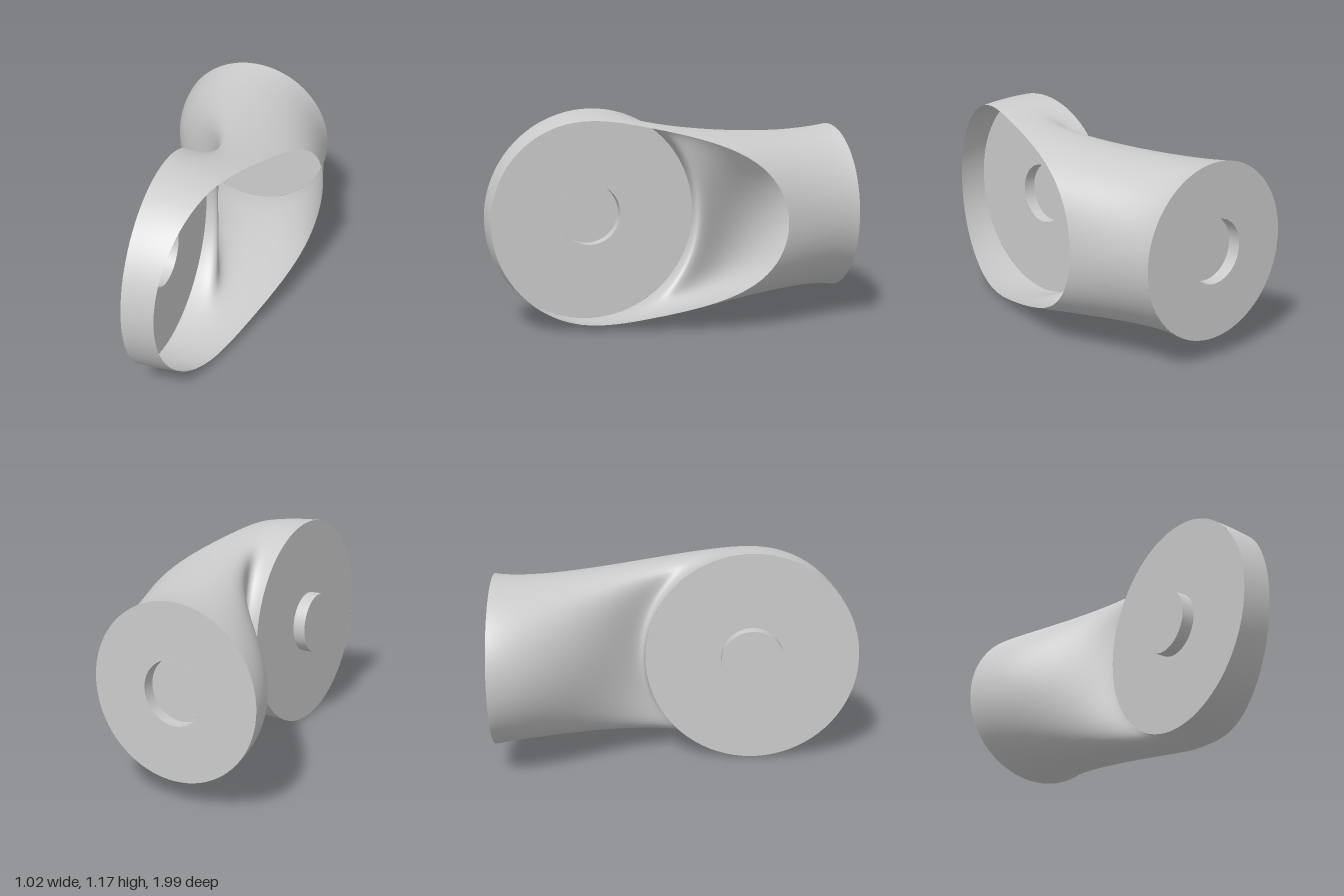
import * as THREE from 'three';

const CY = 0.585;                                  // shared axis height
const A = { r: 0.584, x: -0.1, z: 0.41, tilt: 0.038 };   // big side plate, faces -x
const B = { r: 0.464, x: -0.047, z: -0.985, tilt: 0.032 }; // rear plate, faces -z
const material = new THREE.MeshStandardMaterial({ color: 0xcccccc, side: THREE.DoubleSide });

// One lengthwise curve of the elbow, from the rear plate to the side plate
function strand(angle) {
  const c = Math.cos(angle), s = Math.sin(angle);
  const bx = B.x + B.r * c, bz = B.z + B.tilt * B.r * c;
  const az = A.z + A.r * c, ax = A.x - A.tilt * A.r * c;
  // reach towards each plate: short on the inside of the bend, long on the outside
  const k1 = 0.43;
  const k2 = 0.64 + c * (0.82 + c * (0.6 - c * (0.29 + c * 0.45)));
  return new THREE.CubicBezierCurve3(
    new THREE.Vector3(bx, CY + B.r * s, bz),
    new THREE.Vector3(bx, CY + B.r * 0.84 * s, bz + k1),
    new THREE.Vector3(ax + k2, CY + A.r * (0.94 + 0.1 * c) * s, az + A.tilt * k2 * 0.5),
    new THREE.Vector3(ax, CY + A.r * s, az));
}

// Closed loft of strands with smooth normals
function elbowGeometry(around, along) {
  const pos = [], index = [];
  for (let i = 0; i < around; i++) {
    const curve = strand((i / around) * Math.PI * 2);
    for (let j = 0; j <= along; j++) pos.push(...curve.getPoint(j / along).toArray());
  }
  const id = (i, j) => (i % around) * (along + 1) + j;
  for (let i = 0; i < around; i++)
    for (let j = 0; j < along; j++)
      index.push(id(i, j), id(i + 1, j), id(i, j + 1), id(i + 1, j), id(i + 1, j + 1), id(i, j + 1));
  const g = new THREE.BufferGeometry();
  g.setAttribute('position', new THREE.Float32BufferAttribute(pos, 3));
  g.setIndex(index);
  g.computeVertexNormals();
  return g;
}

// Keeps the part of a geometry where side(point) <= 0
function clip(geometry, side) {
  const g = geometry.toNonIndexed(), P = g.attributes.position, N = g.attributes.normal;
  const pos = [], nor = [];
  for (let f = 0; f < P.count; f += 3) {
    const tri = [0, 1, 2].map(k => {
      const p = new THREE.Vector3().fromBufferAttribute(P, f + k);
      return { p, n: new THREE.Vector3().fromBufferAttribute(N, f + k), d: side(p) };
    });
    const poly = [];
    tri.forEach((a, k) => {
      const b = tri[(k + 1) % 3];
      if (a.d <= 0) poly.push(a);
      if ((a.d <= 0) !== (b.d <= 0)) {
        const t = a.d / (a.d - b.d);
        poly.push({ p: a.p.clone().lerp(b.p, t), n: a.n.clone().lerp(b.n, t).normalize() });
      }
    });
    for (let k = 1; k + 1 < poly.length; k++)
      for (const v of [poly[0], poly[k], poly[k + 1]]) {
        pos.push(...v.p.toArray());
        nor.push(...v.n.toArray());
      }
  }
  const out = new THREE.BufferGeometry();
  out.setAttribute('position', new THREE.Float32BufferAttribute(pos, 3));
  out.setAttribute('normal', new THREE.Float32BufferAttribute(nor, 3));
  return out;
}

// Thin round plate with a central cup pressed towards local +z
function plate(name, radius, cupRadius, depth) {
  const group = new THREE.Group();
  group.name = name;
  const add = (part, geometry) => {
    const mesh = new THREE.Mesh(geometry, material);
    mesh.name = part;
    group.add(mesh);
  };
  add(name + 'Disc', new THREE.RingGeometry(cupRadius, radius, 80, 1));
  add(name + 'CupWall', new THREE.CylinderGeometry(cupRadius, cupRadius, depth, 48, 1, true)
    .rotateX(Math.PI / 2).translate(0, 0, depth / 2));
  add(name + 'CupEnd', new THREE.CircleGeometry(cupRadius, 48).translate(0, 0, depth));
  return group;
}

export function createModel() {
  const model = new THREE.Group();
  model.name = 'elbowHousing';

  // Hollow elbow, sliced open along a slanted plane
  const shell = new THREE.Mesh(
    clip(elbowGeometry(80, 56), p => p.x - (0.045 + (1 - p.z) * 0.307)), material);
  shell.name = 'elbowShell';
  model.add(shell);

  // Side plate, its cup standing out as a boss
  const side = plate('sidePlate', A.r, 0.17, 0.07);
  side.position.set(A.x, CY, A.z);
  side.rotation.y = -Math.PI / 2 - A.tilt;
  model.add(side);

  // Rear plate, its cup sunk inwards as a socket
  const rear = plate('rearPlate', B.r, 0.17, 0.07);
  rear.position.set(B.x, CY, B.z);
  rear.rotation.y = -B.tilt;
  model.add(rear);

  return model;
}
